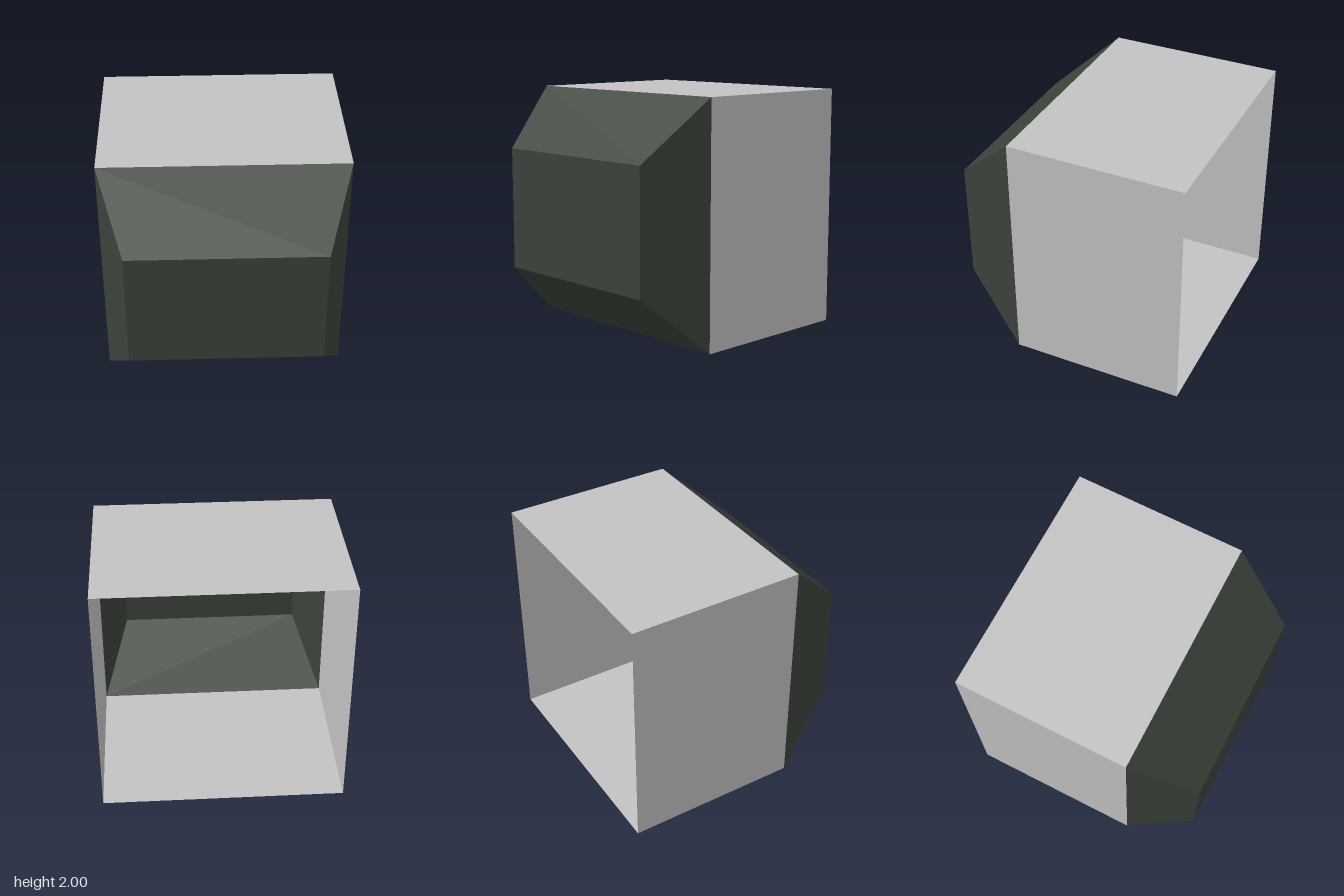
import * as THREE from 'three';

// Rectangular cross-section centred on y = 1, corners counter-clockwise from the front
function ring(halfW, halfH, z) {
  return [[-1, -1], [1, -1], [1, 1], [-1, 1]].map(([x, y]) => [x * halfW, 1 + y * halfH, z]);
}

// Flat four-sided panel
function panel(a, b, c, d) {
  const g = new THREE.BufferGeometry();
  g.setAttribute('position', new THREE.Float32BufferAttribute([a, b, c, a, c, d].flat(), 3));
  g.computeVertexNormals();
  return g;
}

export function createModel() {
  const grey = new THREE.MeshStandardMaterial({ color: 0xc2c2c2, side: THREE.DoubleSide });
  grey.name = 'light grey casing';
  const dark = new THREE.MeshStandardMaterial({ color: 0x3b423a, side: THREE.DoubleSide });
  dark.name = 'dark green grey screen';

  const model = new THREE.Group();
  model.name = 'hollowBox';
  const add = (name, geometry, material) => {
    const mesh = new THREE.Mesh(geometry, material);
    mesh.name = name;
    model.add(mesh);
  };

  const back = ring(1, 1, -1);
  const rim = ring(1, 1, 0.46);
  const front = ring(0.79, 0.51, 1);

  // Casing walls (open at the back) and the sloped panels in front of them
  ['bottom', 'left', 'top', 'right'].forEach((side, i) => {
    const j = (i + 1) % 4;
    add(side + 'Wall', panel(rim[i], back[i], back[j], rim[j]), grey);
    add(side + 'Slope', panel(front[i], rim[i], rim[j], front[j]), dark);
  });

  // Flat front panel
  add('frontPanel', panel(...front), dark);
  return model;
}
